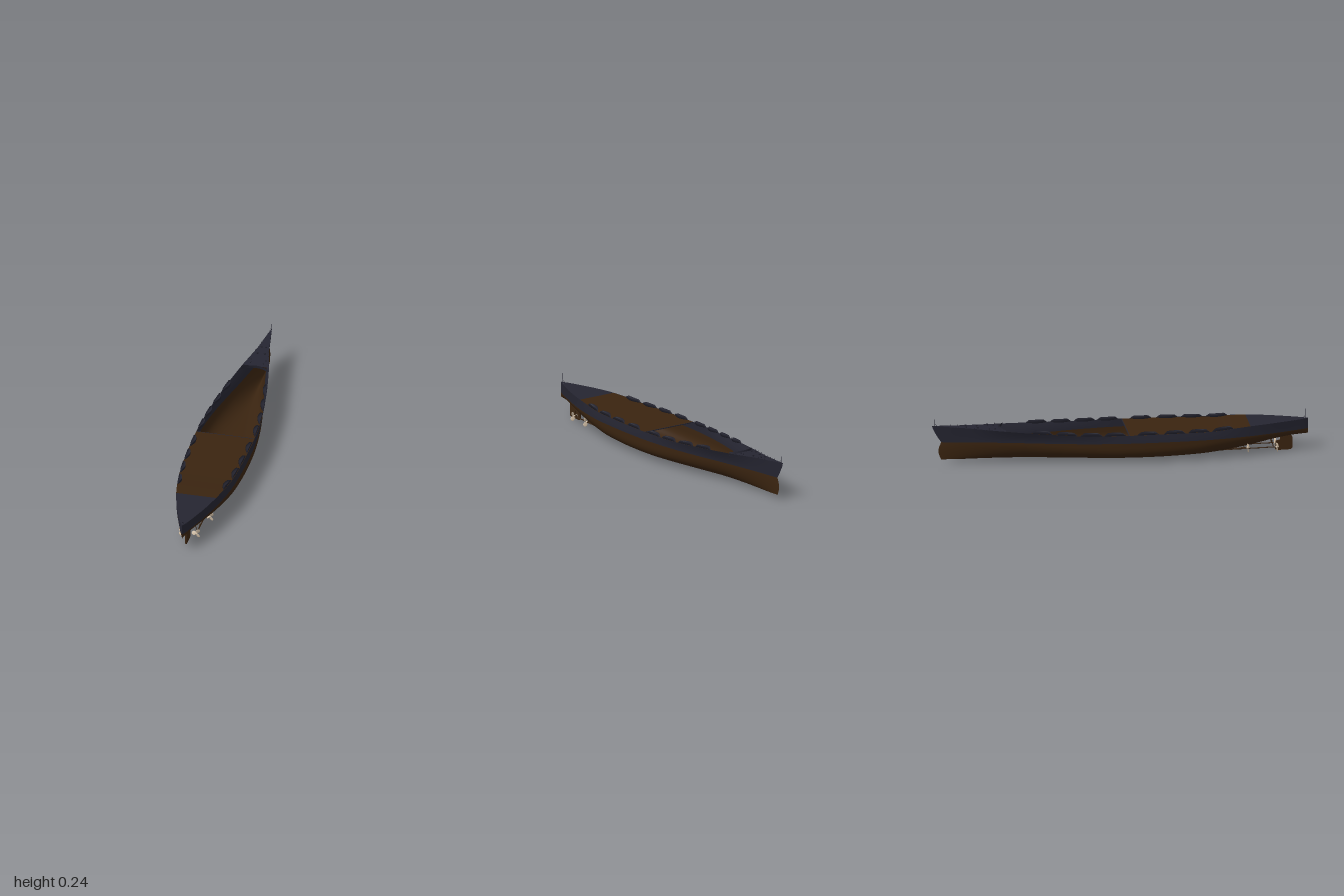
import * as THREE from 'three';

const mat = (name, color) => new THREE.MeshStandardMaterial({ name, color, side: THREE.DoubleSide });
const WATERLINE = 0.114;

// hull stations: z, half width at deck, half width at waterline, section fullness, keel y, sheer y
const STATIONS = [
  [-1, 0, 0, 1.4, 0.02, 0.206], [-0.9, 0.017, 0.012, 1.5, 0.018, 0.199],
  [-0.8, 0.034, 0.025, 1.6, 0.018, 0.193], [-0.65, 0.07, 0.05, 1.8, 0.018, 0.183],
  [-0.5, 0.1, 0.08, 2, 0.017, 0.174], [-0.4, 0.117, 0.102, 2.3, 0.016, 0.168],
  [-0.2, 0.145, 0.138, 2.9, 0.015, 0.159], [0, 0.157, 0.158, 3.5, 0.014, 0.157],
  [0.2, 0.157, 0.161, 3.5, 0.014, 0.157], [0.4, 0.149, 0.153, 2.9, 0.016, 0.157],
  [0.5, 0.139, 0.143, 2.4, 0.02, 0.158], [0.6, 0.124, 0.126, 2.1, 0.03, 0.165],
  [0.7, 0.104, 0.103, 1.9, 0.045, 0.169], [0.8, 0.077, 0.074, 1.8, 0.065, 0.17],
  [0.9, 0.043, 0.04, 1.7, 0.08, 0.17], [0.97, 0.016, 0.015, 1.6, 0.086, 0.17],
  [1, 0, 0, 1.6, 0.088, 0.17],
];

// smooth interpolation of a station at any z
function station(z) {
  let i = 0;
  while (i < STATIONS.length - 2 && z > STATIONS[i + 1][0]) i++;
  const at = (k) => STATIONS[Math.min(Math.max(k, 0), STATIONS.length - 1)];
  const [p, a, b, q] = [at(i - 1), at(i), at(i + 1), at(i + 2)];
  const h = b[0] - a[0], t = (z - a[0]) / h;
  const [, top, water, full, keel, sheer] = a.map((v, k) => {
    const m0 = ((b[k] - p[k]) / (b[0] - p[0])) * h, m1 = ((q[k] - v) / (q[0] - a[0])) * h;
    return v * (1 + 2 * t) * (1 - t) ** 2 + m0 * t * (1 - t) ** 2 + b[k] * t * t * (3 - 2 * t) - m1 * t * t * (1 - t);
  });
  return { top: Math.max(top, 0), water: Math.max(water, 0), full, keel, sheer };
}

// curved stem: pulls the lower bow aft
function stemZ(z, y) {
  const blend = Math.max(0, (-z - 0.6) / 0.4) ** 2;
  const shift = y > WATERLINE
    ? 0.05 * Math.max(0, (0.206 - y) / (0.206 - WATERLINE)) ** 1.3
    : 0.05 - 0.015 * Math.sin((Math.PI * (WATERLINE - y)) / 0.094);
  return z + blend * shift;
}

// surface through rows of points
function sheet(rows) {
  const n = rows[0].length, index = [];
  for (let i = 0; i < rows.length - 1; i++)
    for (let j = 0; j < n - 1; j++) {
      const a = i * n + j, c = a + n;
      index.push(a, a + 1, c, a + 1, c + 1, c);
    }
  const g = new THREE.BufferGeometry();
  g.setAttribute('position', new THREE.Float32BufferAttribute(rows.flat(2), 3));
  g.setIndex(index);
  g.computeVertexNormals();
  return g;
}

const span = (a, b, n, f) => Array.from({ length: n + 1 }, (_, i) => f(a + ((b - a) * i) / n, i / n));

export function createModel() {
  const ship = new THREE.Group();
  ship.name = 'shipHull';
  const navy = mat('navy paint', 0x252531);
  const brown = mat('brown bottom paint', 0x3a2410);
  const bronze = mat('pale bronze', 0xcdbaa2);

  const add = (name, geometry, material, parent = ship) => {
    const m = new THREE.Mesh(geometry, material);
    m.name = name;
    parent.add(m);
    return m;
  };
  const rod = (name, a, b, r, material, parent = ship) => {
    const from = new THREE.Vector3(...a), to = new THREE.Vector3(...b);
    const m = add(name, new THREE.CylinderGeometry(r, r, from.distanceTo(to), 8), material, parent);
    m.position.copy(from).add(to).multiplyScalar(0.5);
    m.quaternion.setFromUnitVectors(new THREE.Vector3(0, 1, 0), to.sub(from).normalize());
    return m;
  };

  // underwater hull, rounded amidships and sharp at the ends
  add('lowerHull', sheet(span(-1, 1, 120, (z) => {
    const s = station(z);
    return span(-Math.PI / 2, Math.PI / 2, 32, (a) => {
      const x = Math.sign(a) * s.water * Math.abs(Math.sin(a)) ** (2 / s.full);
      const y = WATERLINE - (WATERLINE - s.keel) * Math.max(0, Math.cos(a)) ** (2 / s.full);
      return [x, y, stemZ(z, y)];
    });
  })), brown);

  // flared topsides
  for (const side of [-1, 1])
    add(side > 0 ? 'leftTopside' : 'rightTopside', sheet(span(-1, 1, 120, (z) => {
      const s = station(z);
      const strip = span(0, 1, 6, (t) => {
        const y = WATERLINE + (s.sheer - WATERLINE) * t;
        return [side * (s.water + (s.top - s.water) * t ** 1.5), y, stemZ(z, y)];
      });
      return side > 0 ? strip : strip.reverse();
    })), navy);

  // decks, with the hold left open between the foredeck and the main deck
  const deck = (name, z0, z1, material) => add(name, sheet(span(z0, z1, 40, (z) => {
    const s = station(z);
    return [1, 0, -1].map((k) => [k * s.top, s.sheer - 0.001, stemZ(z, s.sheer)]);
  })), material);
  deck('foredeck', -1, -0.645, navy);
  deck('mainDeck', 0.03, 0.68, brown);
  deck('quarterdeck', 0.68, 1, navy);
  add('deckEdgeBeam', new THREE.BoxGeometry(0.312, 0.004, 0.004), navy).position.set(0, 0.154, 0.03);

  // crescent gun galleries along the deck edge
  for (const side of [-1, 1])
    for (const zc of [-0.43, -0.3, -0.17, -0.045, 0.13, 0.27, 0.4, 0.53])
      add('gunGallery', sheet(span(zc - 0.058, zc + 0.058, 20, (z, t) => {
        const s = station(z), bulge = Math.sin(Math.PI * t);
        const outer = s.top - 0.002, inner = outer - 0.001 - 0.019 * bulge;
        const rim = s.sheer + 0.014 * Math.min(1, bulge * 2);
        return [[outer, rim], [outer, s.sheer], [inner, s.sheer], [inner, rim]].map(([x, y]) => [side * x, y, z]);
      })), navy);

  // breakwater at the break of the foredeck
  add('breakwater', sheet(span(-1, 1, 16, (u) => {
    const z = -0.645 + 0.025 * u * u, y = station(z).sheer;
    return [[u * 0.072, y - 0.012, z], [u * 0.072, y + 0.006, z + 0.005]];
  })), navy);

  // foredeck fittings
  for (const side of [-1, 1]) {
    for (const [x, z, r] of [[0.012, -0.82, 0.005], [0.02, -0.76, 0.006], [0.04, -0.7, 0.004], [0.035, -0.67, 0.004]])
      add('capstan', new THREE.CylinderGeometry(r, r * 0.8, 0.008, 12), navy)
        .position.set(side * x, station(z).sheer + 0.003, z);
    for (let z = -0.94; z < -0.64; z += 0.04) {
      const s = station(z);
      rod('railPost', [side * (s.top - 0.002), s.sheer - 0.001, z], [side * (s.top - 0.002), s.sheer + 0.006, z], 0.0008, navy);
    }
  }

  // flagstaffs with braces
  for (const [name, z, foot, tip, dir] of [['bowStaff', -0.985, 0.203, 0.24, 1], ['sternStaff', 0.985, 0.169, 0.22, -1]]) {
    rod(name, [0, foot, z], [0, tip, z], 0.001, navy);
    for (const side of [-1, 1])
      rod(name + 'Brace', [side * 0.006, foot - 0.002, z + dir * 0.014], [0, foot + 0.016, z], 0.0007, navy);
  }

  // rudder
  const blade = new THREE.Shape([[0.825, 0.004], [0.835, 0], [0.905, 0.002], [0.915, 0.01], [0.915, 0.072],
    [0.9, 0.088], [0.855, 0.088], [0.85, 0.055], [0.827, 0.05]].map(([z, y]) => new THREE.Vector2(-z, y)));
  const rudder = add('rudder', new THREE.ExtrudeGeometry(blade, { depth: 0.008, bevelEnabled: false }), brown);
  rudder.rotation.y = Math.PI / 2;
  rudder.position.x = -0.004;

  // four propellers, each with a shaft and a V bracket
  for (const side of [-1, 1])
    for (const [x, y, z, start] of [[0.073, 0.042, 0.67, 0.36], [0.039, 0.029, 0.83, 0.48]]) {
      const propeller = new THREE.Group();
      propeller.name = 'propeller';
      propeller.position.set(side * x, y, z);
      ship.add(propeller);
      const hub = add('hub', new THREE.SphereGeometry(0.005, 12, 8), bronze, propeller);
      hub.scale.z = 2;
      for (let k = 0; k < 3; k++) {
        const arm = new THREE.Group();
        arm.name = 'bladeArm';
        arm.rotation.z = (side > 0 ? Math.PI : 0) + (k * Math.PI * 2) / 3;
        propeller.add(arm);
        const leaf = add('blade', new THREE.SphereGeometry(1, 16, 10), bronze, arm);
        leaf.scale.set(0.0125, 0.0115, 0.0015);
        leaf.position.x = 0.0145;
        leaf.rotation.x = 0.45;
      }
      rod('shaft', [side * x, y, z], [side * x, y - 0.006, start], 0.003, brown);
      for (const lean of [-0.018, 0.018])
        rod('shaftBracket', [side * x, y, z - 0.02], [side * (x + lean) * 0.9, y + 0.042, z - 0.03], 0.002, brown);
    }

  return ship;
}
